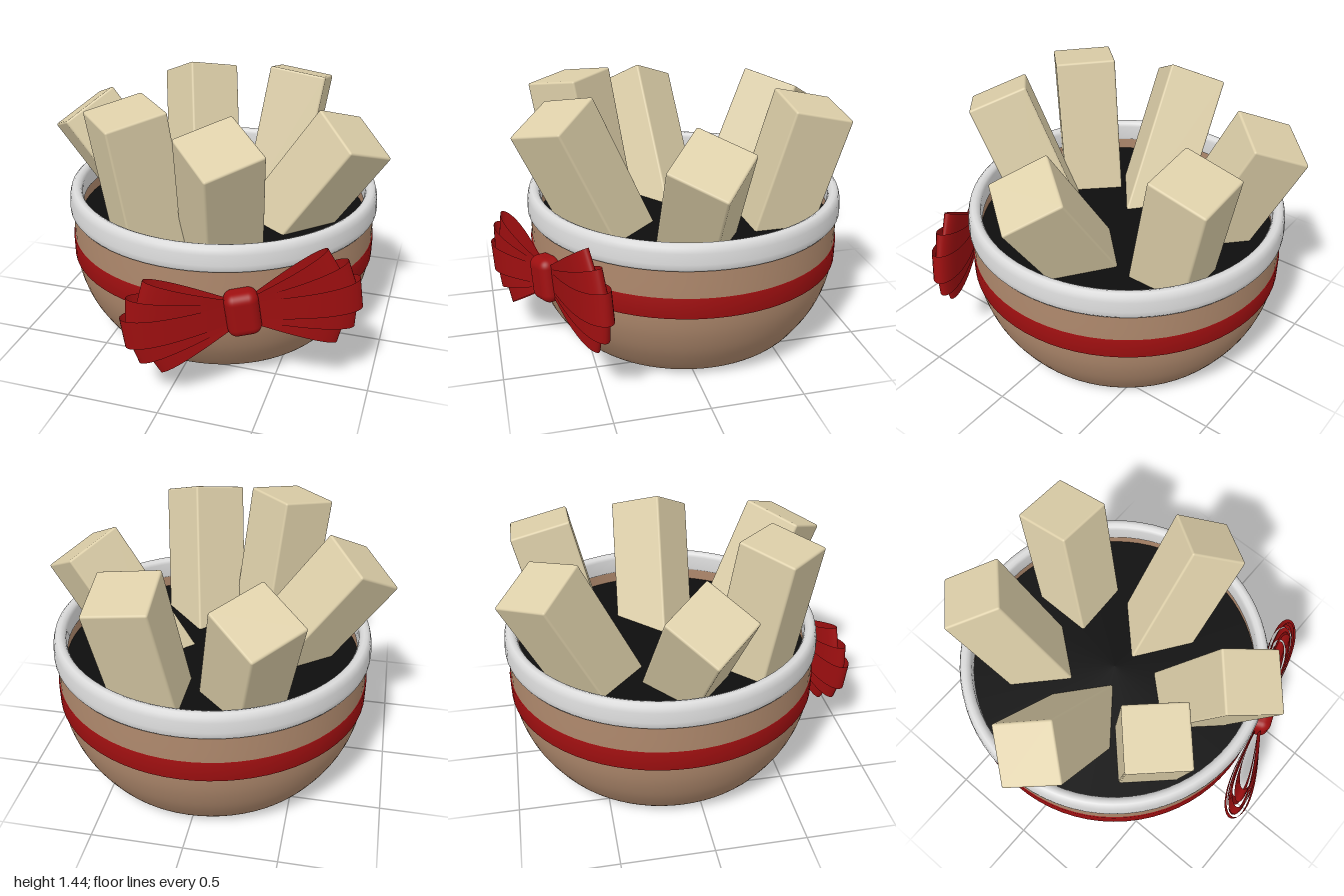
import * as THREE from 'three';
import { RoundedBoxGeometry } from 'three/addons/geometries/RoundedBoxGeometry.js';

const paint = (name, color, side = THREE.FrontSide) => {
  const m = new THREE.MeshStandardMaterial({ color, side });
  m.name = name;
  return m;
};

export function createModel() {
  const clay = paint('clay brown', 0xae886c, THREE.DoubleSide);
  const white = paint('rim white', 0xdadada);
  const black = paint('filling black', 0x0d0d0d);
  const red = paint('ribbon red', 0x9e0f10, THREE.DoubleSide);
  const cream = paint('stick cream', 0xddcfa9);

  const model = new THREE.Group();
  const add = (parent, name, geometry, material) => {
    const mesh = new THREE.Mesh(geometry, material);
    mesh.name = name;
    parent.add(mesh);
    return mesh;
  };
  const lathe = (pts) => new THREE.LatheGeometry(pts.map(([r, y]) => new THREE.Vector2(r, y)), 72);

  // Bowl: curved wall, flat base, rim, ribbon band and dark filling
  const bowl = new THREE.Group();
  bowl.name = 'bowl';
  bowl.position.set(0.018, 0, -0.108);
  model.add(bowl);
  const wall = new THREE.SplineCurve([
    [0.62, 0], [0.665, 0.02], [0.72, 0.08], [0.795, 0.2], [0.842, 0.32],
    [0.864, 0.43], [0.87, 0.55], [0.868, 0.74],
  ].map(([r, y]) => new THREE.Vector2(r, y)));
  add(bowl, 'bowlWall', new THREE.LatheGeometry(wall.getPoints(28), 72), clay);
  add(bowl, 'bowlInnerWall', lathe([[0.825, 0.8], [0.825, 0.6]]), clay);
  const base = add(bowl, 'bowlBase', new THREE.CircleGeometry(0.62, 72), clay);
  base.rotation.x = Math.PI / 2;
  add(bowl, 'rim', lathe([
    [0.815, 0.74], [0.86, 0.718], [0.876, 0.72], [0.885, 0.733], [0.886, 0.76], [0.881, 0.815],
    [0.873, 0.843], [0.858, 0.857], [0.84, 0.859], [0.822, 0.85], [0.812, 0.832], [0.81, 0.75], [0.815, 0.74],
  ]), white);
  add(bowl, 'ribbonBand', lathe([[0.86, 0.455], [0.876, 0.455], [0.877, 0.567], [0.862, 0.567]]), red);
  const filling = add(bowl, 'filling', new THREE.CircleGeometry(0.826, 72), black);
  filling.rotation.x = -Math.PI / 2;
  filling.position.y = 0.67;

  // Sticks: centre of the top face, leaning axis, direction of one top edge
  const sticks = [
    ['leftStick', [-0.785, 1.25, 0.01], [-0.58, 0.81, 0.07], [0.19, 0.11, 0.24]],
    ['backLeftStick', [-0.335, 1.295, -0.79], [-0.155, 0.9, -0.405], [0.24, 0.13, 0.19]],
    ['frontLeftStick', [-0.335, 1.41, 0.475], [-0.1, 0.98, 0.145], [0.25, -0.013, 0.26]],
    ['frontRightStick', [0.215, 1.34, 0.645], [0.097, 0.91, 0.4], [0.23, 0.07, -0.215]],
    ['backRightStick', [0.33, 1.345, -0.74], [0.125, 0.965, -0.23], [0.31, -0.04, 0]],
    ['rightStick', [0.77, 1.225, -0.05], [0.545, 0.835, 0.05], [0.18, -0.1, -0.25]],
  ];
  for (const [name, top, lean, edge] of sticks) {
    const y = new THREE.Vector3(...lean).normalize();
    const x = new THREE.Vector3(...edge);
    x.addScaledVector(y, -x.dot(y)).normalize();
    const z = new THREE.Vector3().crossVectors(x, y);
    const length = (top[1] - 0.45) / y.y;
    const geometry = new RoundedBoxGeometry(0.335, length, 0.335, 2, 0.012);
    geometry.translate(0, -length / 2, 0);
    const stick = add(model, name, geometry, cream);
    stick.quaternion.setFromRotationMatrix(new THREE.Matrix4().makeBasis(x, y, z));
    stick.position.set(...top);
  }

  // Bow loop: a teardrop path swept into a ribbon that widens outwards
  const ribbonLoop = (length, depth) => {
    const steps = 40, pos = [], index = [];
    for (let i = 0; i <= steps; i++) {
      const t = (i / steps) * Math.PI * 2;
      const u = (1 - Math.cos(t)) / 2;
      const w = (depth / 0.7) * Math.sin(t) * Math.sin(t / 2) ** 1.5;
      const half = 0.05 + 0.035 * u;
      pos.push(length * u, half, w, length * u, -half, w);
      if (i < steps) {
        const a = i * 2;
        index.push(a, a + 1, a + 2, a + 1, a + 3, a + 2);
      }
    }
    const g = new THREE.BufferGeometry();
    g.setAttribute('position', new THREE.Float32BufferAttribute(pos, 3));
    g.setIndex(index);
    g.computeVertexNormals();
    return g;
  };

  // Bow: a fan of five loops on each side of a rounded knot
  const bow = new THREE.Group();
  bow.name = 'bow';
  bow.position.set(0.368, 0.51, 0.725);
  bow.rotation.set(0, 0.395, 0.14);
  model.add(bow);
  const tiers = [[0.61, 0.07], [0.585, 0.055], [0.53, 0.04]];
  for (const side of [0, Math.PI]) {
    for (let k = -2; k <= 2; k++) {
      const [length, depth] = tiers[Math.abs(k)];
      const loop = add(bow, side ? 'rightBowLoop' : 'leftBowLoop', ribbonLoop(length, depth), red);
      loop.rotation.z = side + k * 0.19;
    }
  }
  const knot = new RoundedBoxGeometry(0.175, 0.245, 0.13, 6, 0.05);
  add(bow, 'bowKnot', knot, red);
  return model;
}
